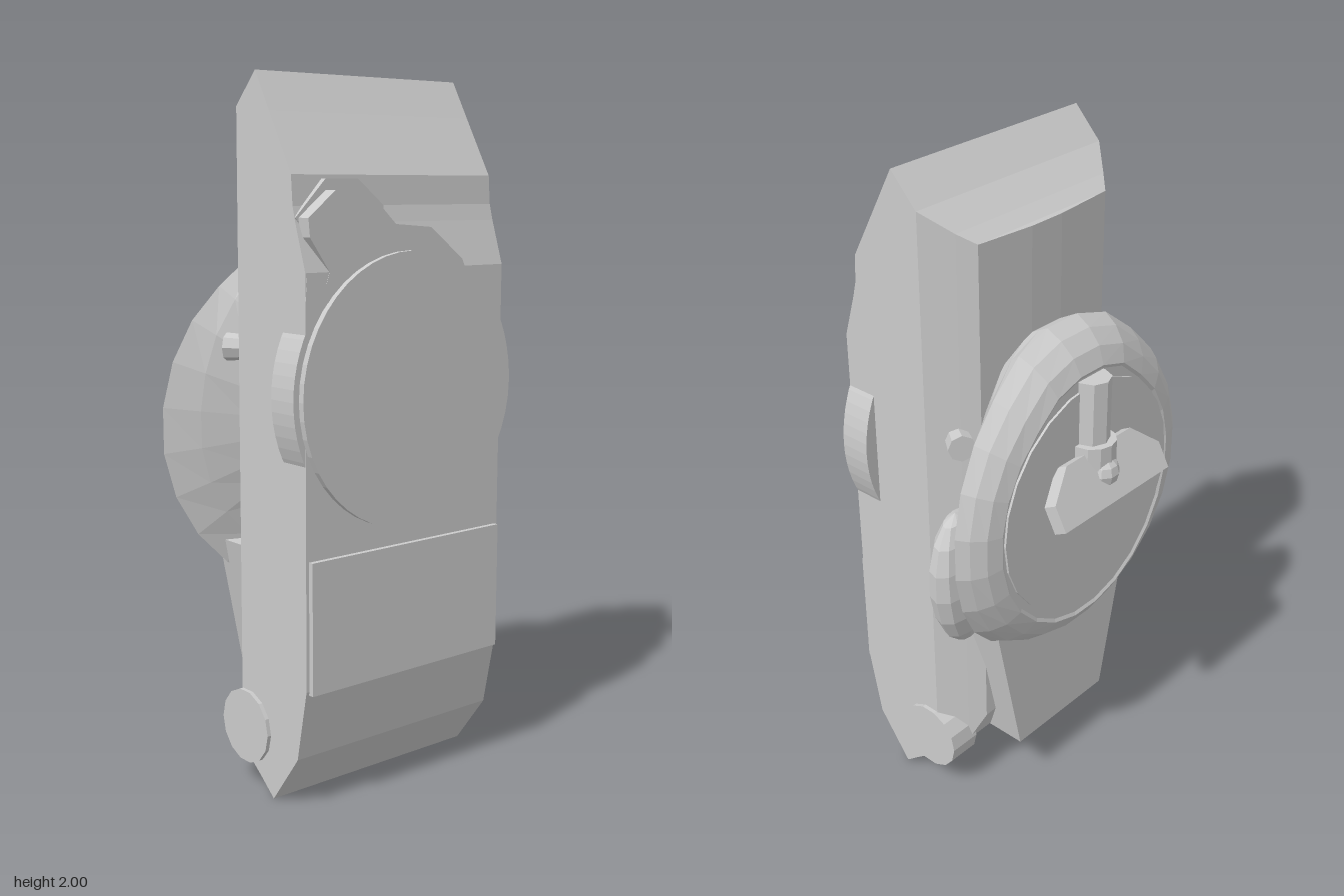
import * as THREE from 'three';

const material = new THREE.MeshStandardMaterial({ color: 0xcccccc, flatShading: true });

// Skins closed rings (counterclockwise from the front, ordered front to back) and caps both ends
function loft(rings) {
  const pos = [];
  const tri = (a, b, c) => pos.push(...a, ...b, ...c);
  const n = rings[0].length;
  const mid = (r) => [0, 1, 2].map((k) => r.reduce((s, p) => s + p[k], 0) / n);
  const first = rings[0], last = rings[rings.length - 1];
  for (let j = 0; j < n; j++) {
    const m = (j + 1) % n;
    for (let i = 0; i < rings.length - 1; i++) {
      const a = rings[i], b = rings[i + 1];
      tri(a[j], b[j], a[m]);
      tri(a[m], b[j], b[m]);
    }
    tri(mid(first), first[j], first[m]);
    tri(mid(last), last[m], last[j]);
  }
  const g = new THREE.BufferGeometry();
  g.setAttribute('position', new THREE.Float32BufferAttribute(pos, 3));
  g.computeVertexNormals();
  return g;
}

// Flat outline given depth from z0 to z1
function slab(points, z0, z1) {
  const shape = new THREE.Shape(points.map(([x, y]) => new THREE.Vector2(x, y)));
  return new THREE.ExtrudeGeometry(shape, { depth: z1 - z0, bevelEnabled: false }).translate(0, 0, z0);
}

export function createModel() {
  const model = new THREE.Group();
  const add = (name, geometry, x = 0, y = 0, z = 0) => {
    const mesh = new THREE.Mesh(geometry, material);
    mesh.name = name;
    mesh.position.set(x, y, z);
    model.add(mesh);
    return mesh;
  };

  // Case: stations of z, half width, bottom, top
  const stations = [
    [0.33, 0.36, 0.355, 1.48], [0.29, 0.36, 0.15, 1.605], [0.278, 0.36, 0.133, 1.65],
    [0.272, 0.36, 0.125, 1.73], [0.18, 0.36, 0, 1.893], [0.12, 0.36, 0.05, 2],
    [0.035, 0.36, 0.115, 1.91], [-0.035, 0.295, 0.175, 1.85], [-0.075, 0.255, 0.27, 1.82],
    [-0.085, 0.06, 0.29, 1.815],
  ];
  add('case', loft(stations.map(([z, w, b, t]) => [[-w, b, z], [w, b, z], [w, t, z], [-w, t, z]])));

  // Raised shoulder on the upper front, with a notch in its side
  add('frontShoulder', slab([
    [-0.36, 1.4], [0.25, 1.4], [0.2, 1.5], [0.08, 1.59], [-0.05, 1.6], [-0.15, 1.69], [-0.26, 1.69],
    [-0.35, 1.62], [-0.345, 1.57], [-0.28, 1.48], [-0.29, 1.45], [-0.355, 1.47],
  ], 0.25, 0.331));
  const rim = [[-0.36, 1.62], [-0.26, 1.72], [-0.15, 1.72], [-0.06, 1.65], [-0.06, 1.5], [-0.26, 1.5], [-0.33, 1.58]];
  add('shoulderStep', slab(rim, 0.24, 0.29));

  // Front disc, its side bulges and the lower panel
  add('frontDisc', new THREE.CylinderGeometry(0.382, 0.382, 0.04, 48).rotateX(Math.PI / 2), 0, 1.147, 0.328);
  for (const s of [-1, 1]) {
    const bulge = new THREE.CylinderGeometry(0.4, 0.4, 0.095, 12, 1, false, s * Math.PI / 2 - 0.5, 1);
    add('sideBulge', bulge.rotateX(Math.PI / 2), 0, 1.147, 0.282);
  }
  add('lowerPanel', new THREE.BoxGeometry(0.7, 0.37, 0.03), 0, 0.53, 0.33);

  // Rear housing: a faceted ring whose crest leans forward at the bottom
  const segments = 24;
  const ring = (scale, z, lean, topFill = 0) => Array.from({ length: segments }, (_, i) => {
    const a = (i + 0.5) / segments * Math.PI * 2, s = Math.sin(a);
    const k = scale + topFill * Math.max(0, s) ** 2;
    const tab = s > 0.92 ? 0.02 : 0;
    return [0.478 * k * Math.cos(a), 1.015 + (0.51 * k + tab) * s, z + lean * (s < 0 ? s * s : 0.5 * s * s)];
  });
  add('rearHousing', loft([
    ring(0.55, -0.07, 0, 0.38), ring(0.8, -0.125, 0.03, 0.17), ring(1, -0.178, 0.075),
    ring(0.95, -0.21, 0.045), ring(0.87, -0.238, 0.02), ring(0.77, -0.25, 0), ring(0.75, -0.245, 0),
  ]));
  add('rearDisc', new THREE.CylinderGeometry(0.355, 0.355, 0.03, 24).rotateX(Math.PI / 2), 0, 1.03, -0.237);

  // Pointed lobe beside the housing
  add('sideLobe', new THREE.SphereGeometry(1, 12, 8).scale(0.135, 0.23, 0.07), 0.315, 0.82, -0.045)
    .rotation.set(0, 0.2, -0.12);

  // Tapered tail under the housing
  add('tail', slab([[-0.195, 0.17], [0.195, 0.17], [0.3, 0.68], [-0.3, 0.68]], -0.16, -0.03));

  // Small studs and lower hinge rollers on both sides
  for (const s of [-1, 1]) {
    const stud = add('stud', new THREE.CylinderGeometry(0.032, 0.04, 0.11, 8), s * 0.295, 1.255, -0.025);
    stud.rotation.set(Math.PI / 2, 0, s * 0.6);
    add('hingeRoller', new THREE.CylinderGeometry(0.107, 0.107, 0.1, 14).rotateZ(Math.PI / 2), s * 0.322, 0.183, 0.062);
  }

  // Turning handle: post, collar and tilted grip
  add('handlePost', new THREE.CylinderGeometry(0.055, 0.055, 0.23, 8), 0, 1.295, -0.25);
  add('handleCollar', new THREE.CylinderGeometry(0.07, 0.07, 0.07, 12), 0, 1.185, -0.255);
  const grip = add('handleGrip', slab([
    [-0.23, -0.08], [0.23, -0.08], [0.23, 0.0], [0.14, 0.08], [-0.14, 0.08], [-0.23, 0.0],
  ], -0.022, 0.022), 0, 1.12, -0.3);
  grip.rotation.x = 0.5;
  add('gripBoss', new THREE.SphereGeometry(0.05, 10, 6), 0, 1.13, -0.295);

  return model;
}
